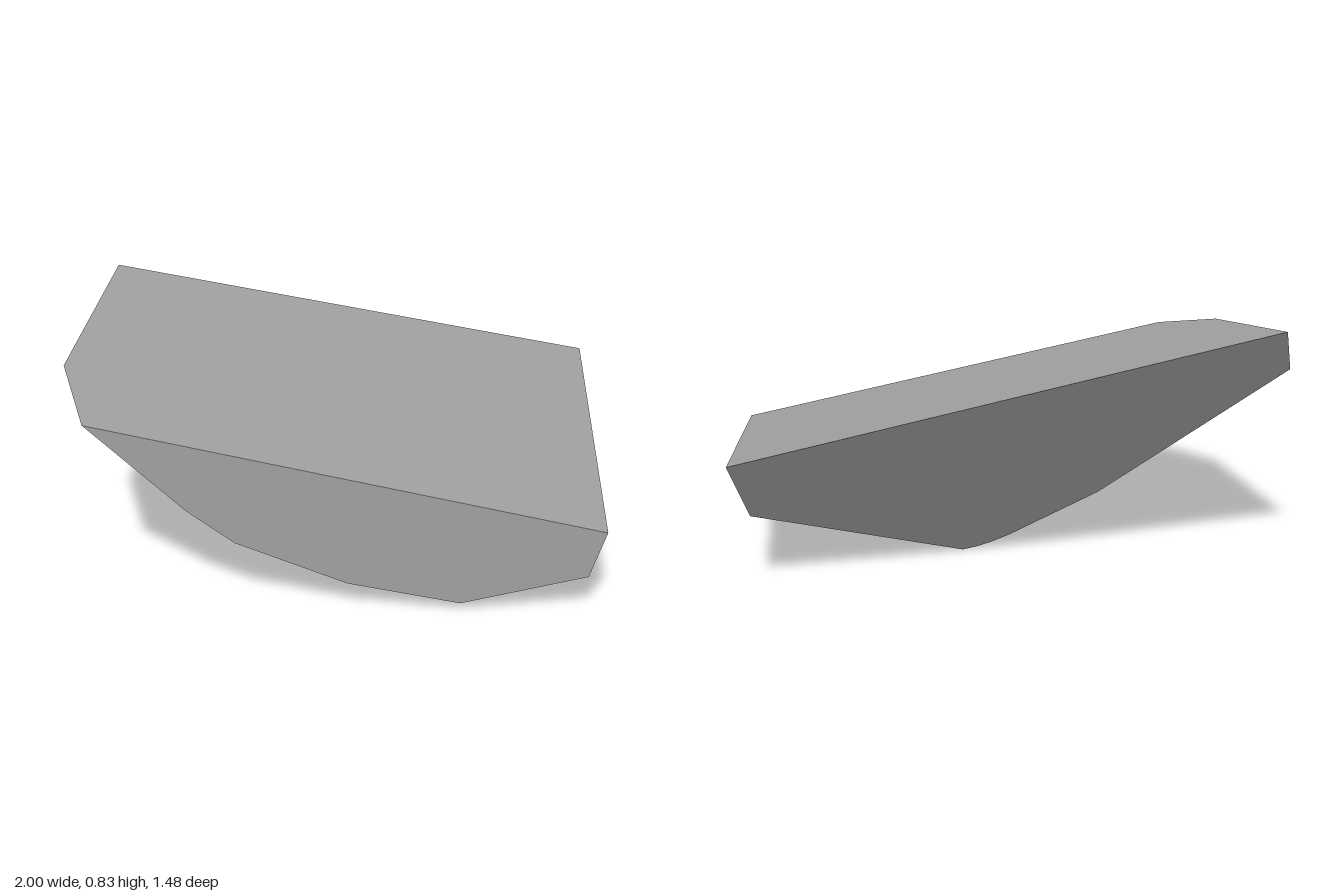
import * as THREE from 'three';
import { ConvexGeometry } from 'three/addons/geometries/ConvexGeometry.js';

// Flat cut planes of the fragment
const topY = (x, z) => 0.579 - 0.206 * x - 0.0908 * z;
const backZ = (x, y) => -0.2885 - 0.187 * x - 0.602 * y;
const FRONT_Z = 0.74;

export function createModel() {
  const group = new THREE.Group();
  group.name = 'rockFragment';
  const stone = new THREE.MeshStandardMaterial({ color: 0xa0a0a0 });
  stone.name = 'grey stone';

  // Corners of the sloping top face (x, z)
  const topRim = [[-0.95, -0.61], [1, -0.74], [0.945, 0.74], [-0.84, 0.74], [-0.98, 0.35]]
    .map(([x, z]) => new THREE.Vector3(x, topY(x, z), z));

  // Lower rim of the upright front face (x, y)
  const frontRim = [[-0.5, 0.37], [-0.335, 0.25], [0.055, 0.1], [0.45, 0.03], [0.89, 0.145]]
    .map(([x, y]) => new THREE.Vector3(x, y, FRONT_Z));

  // Lower rim of the undercut back face (x, y)
  const backRim = [[-1, 0.68], [-0.335, 0.21], [-0.01, 0.05], [0.06, 0.023], [0.11, 0.009], [0.165, 0], [0.93, 0.235]]
    .map(([x, y]) => new THREE.Vector3(x, y, backZ(x, y)));

  // Small bend along the lower edge of the side face
  const sideBend = new THREE.Vector3(0.9, 0.15, 0.48);

  const rock = new THREE.Mesh(new ConvexGeometry([...topRim, ...frontRim, ...backRim, sideBend]), stone);
  rock.name = 'rockBody';
  group.add(rock);
  return group;
}
